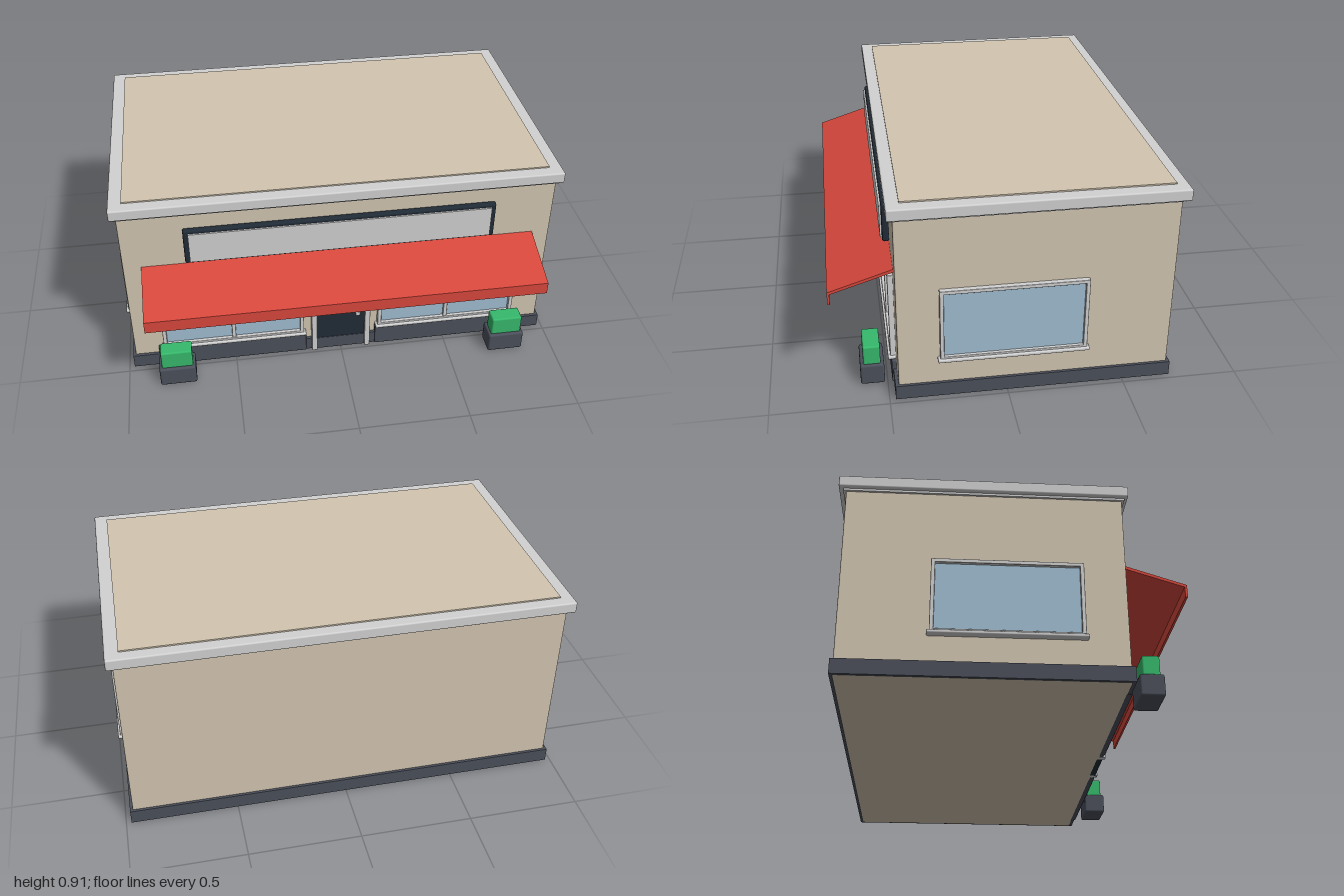
import * as THREE from 'three';
import { RoundedBoxGeometry } from 'three/addons/geometries/RoundedBoxGeometry.js';

const mat = (name, color) => {
  const m = new THREE.MeshStandardMaterial({ color });
  m.name = name;
  return m;
};

export function createModel() {
  const wall = mat('tan wall', 0xd3c6b1);
  const trim = mat('light grey trim', 0xd2d2d3);
  const base = mat('slate grey', 0x4b505b);
  const dark = mat('dark navy', 0x212c37);
  const red = mat('awning red', 0xd9483d);
  const green = mat('plant green', 0x36b96c);
  const glass = mat('window blue', 0xa0bed2);

  const model = new THREE.Group();
  model.name = 'shop';

  // Box given by its low and high corners, with an optional rounded edge
  const box = (parent, name, material, [x0, x1], [y0, y1], [z0, z1], r = 0) => {
    const s = [x1 - x0, y1 - y0, z1 - z0];
    const geo = r ? new RoundedBoxGeometry(...s, 2, r) : new THREE.BoxGeometry(...s);
    const mesh = new THREE.Mesh(geo, material);
    mesh.name = name;
    mesh.position.set((x0 + x1) / 2, (y0 + y1) / 2, (z0 + z1) / 2);
    parent.add(mesh);
    return mesh;
  };

  // Framed window in its own xy plane, its back on z = 0
  const makeWindow = (name, w, y0, y1, bar, depth, mullion) => {
    const g = new THREE.Group();
    g.name = name;
    const h = w / 2;
    box(g, 'glass', glass, [-h + bar / 2, h - bar / 2], [y0, y1 - bar / 2], [-0.005, 0.008]);
    for (const s of [-1, 1]) {
      const x = s * (h - bar / 2);
      box(g, 'frameSide', trim, [x - bar / 2, x + bar / 2], [y0, y1], [-0.005, depth], 0.003);
    }
    box(g, 'frameTop', trim, [-h, h], [y1 - bar, y1], [-0.005, depth], 0.003);
    box(g, 'frameBottom', trim, [-h, h], [y0, y0 + bar], [-0.005, depth], 0.003);
    if (mullion) box(g, 'mullion', trim, [-bar / 2, bar / 2], [y0, y1], [-0.005, depth - 0.003], 0.003);
    box(g, 'sill', trim, [-h - 0.01, h + 0.01], [y0 - 0.007, y0 + 0.008], [-0.005, depth + 0.01], 0.005);
    model.add(g);
    return g;
  };

  // Building shell, plinth, cornice and roof
  box(model, 'walls', wall, [-0.965, 0.965], [0, 0.86], [-0.698, 0.46], 0.006);
  box(model, 'plinth', base, [-0.977, 0.977], [0.002, 0.067], [-0.71, 0.474]);
  box(model, 'cornice', trim, [-0.992, 0.992], [0.855, 0.906], [-0.728, 0.485], 0.007);
  box(model, 'lowerCornice', trim, [-0.974, 0.974], [0.845, 0.86], [-0.709, 0.47]);
  box(model, 'roof', wall, [-0.935, 0.935], [0.9, 0.912], [-0.677, 0.43]);

  // Windows, bulkheads and planters on both sides of the door
  for (const s of [-1, 1]) {
    const front = makeWindow('frontWindow', 0.655, 0.113, 0.52, 0.018, 0.024, true);
    front.position.set(s * 0.503, 0, 0.46);
    const c = s * 0.51;
    box(model, 'bulkhead', base, [c - 0.345, c + 0.345], [0, 0.11], [0.45, 0.48], 0.005);

    const side = makeWindow('sideWindow', 0.62, 0.187, 0.522, 0.017, 0.022, false);
    side.position.set(s * 0.965, 0, -0.025);
    side.rotation.y = s * Math.PI / 2;

    const p = s * 0.773;
    box(model, 'planter', base, [p - 0.083, p + 0.083], [0, 0.096], [0.512, 0.615], 0.009);
    box(model, 'plant', green, [p - 0.071, p + 0.071], [0.09, 0.183], [0.527, 0.601], 0.008);
  }

  // Door with frame, pane, kick plate and handle
  const door = new THREE.Group();
  door.name = 'door';
  model.add(door);
  box(door, 'doorPanel', dark, [-0.113, 0.113], [0, 0.426], [0.45, 0.475]);
  box(door, 'doorGlass', glass, [-0.087, 0.087], [0.245, 0.4], [0.474, 0.478]);
  box(door, 'kickPlate', base, [-0.113, 0.113], [0.002, 0.067], [0.474, 0.477]);
  box(door, 'handle', trim, [0.069, 0.091], [0.194, 0.216], [0.474, 0.489], 0.004);
  for (const s of [-1, 1]) {
    box(door, 'doorPost', trim, [s * 0.126 - 0.013, s * 0.126 + 0.013], [0, 0.45], [0.45, 0.488], 0.003);
  }
  box(door, 'doorHead', trim, [-0.139, 0.139], [0.425, 0.45], [0.45, 0.488], 0.003);

  // Sign board with a blank panel
  box(model, 'signFrame', dark, [-0.692, 0.692], [0.6, 0.775], [0.46, 0.489], 0.009);
  box(model, 'signPanel', trim, [-0.67, 0.67], [0.612, 0.76], [0.48, 0.497]);

  // Sloping awning with a hanging front flap, extruded along x
  const profile = new THREE.Shape([
    [0.455, 0.583], [0.73, 0.495], [0.73, 0.438], [0.72, 0.438], [0.72, 0.485], [0.455, 0.569],
  ].map(([z, y]) => new THREE.Vector2(-z, y)));
  const awningGeo = new THREE.ExtrudeGeometry(profile, { depth: 1.77, bevelEnabled: false });
  awningGeo.translate(0, 0, -0.885).rotateY(Math.PI / 2);
  const awning = new THREE.Mesh(awningGeo, red);
  awning.name = 'awning';
  model.add(awning);

  return model;
}
